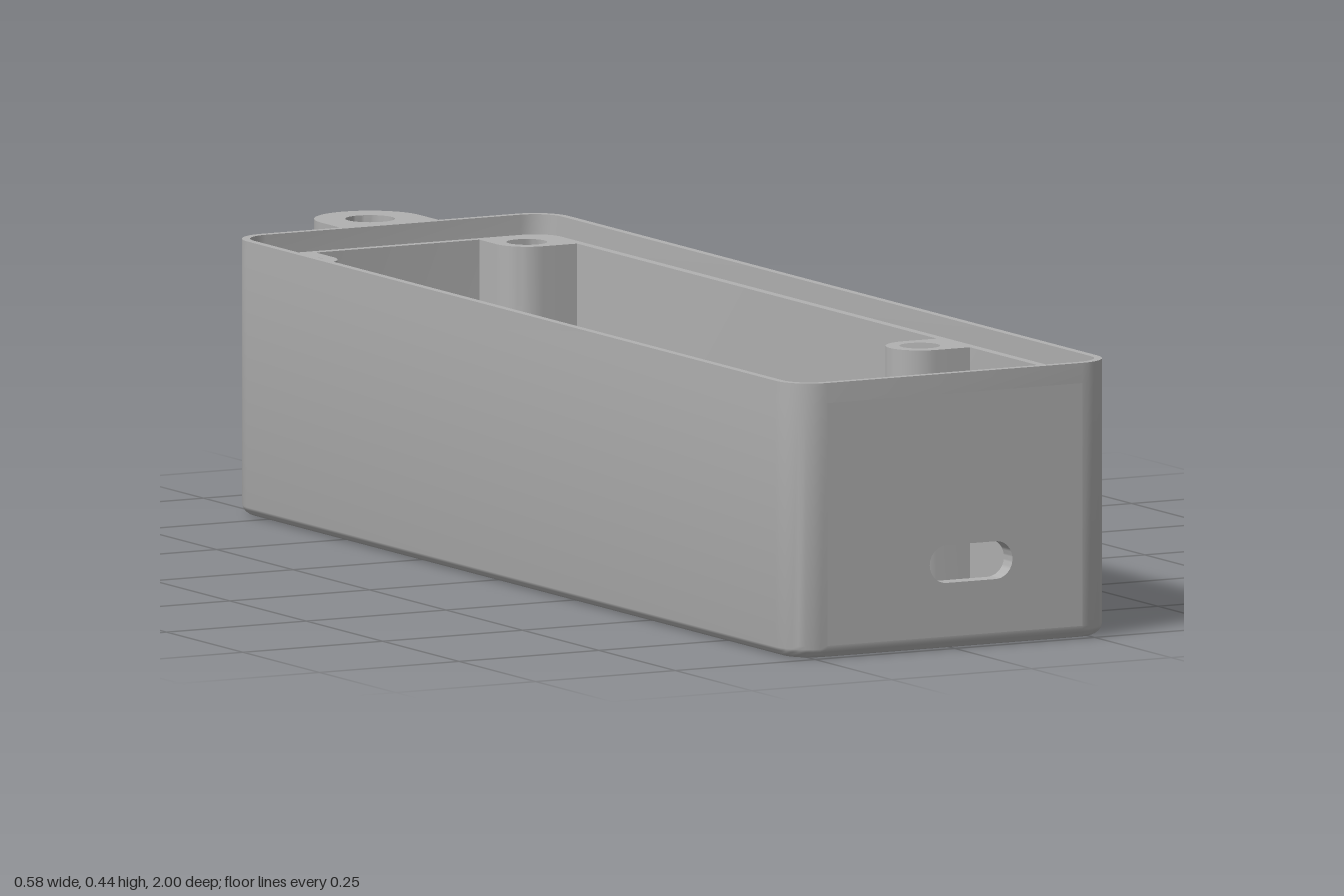
import * as THREE from 'three';
import { toCreasedNormals } from 'three/addons/utils/BufferGeometryUtils.js';

const W = 0.288, ZC = 0.075, D = 0.925, R = 0.06; // half width, centre z, half depth, corner radius
const H = 0.437, LEDGE = 0.405, FLOOR = 0.03, WALL = 0.028, LIP = 0.013, FILLET = 0.02;
const SEG = 8;

// Rounded-rectangle outline of the case in x/z, moved inward by an inset
function outline(inset) {
  const pts = [];
  [[1, 1], [-1, 1], [-1, -1], [1, -1]].forEach(([sx, sz], q) => {
    for (let i = 0; i <= SEG; i++) {
      const a = (q + i / SEG) * Math.PI / 2;
      pts.push(new THREE.Vector2(
        sx * (W - R) + (R - inset) * Math.cos(a),
        ZC + sz * (D - R) + (R - inset) * Math.sin(a)));
    }
  });
  return pts;
}

// Skin through [inset, y] rings; skip(k) leaves the flat front of strip k open
function loftWalls(rings, skip) {
  const pos = [];
  const loops = rings.map(([inset, y]) => outline(inset).map(p => [p.x, y, p.y]));
  const n = loops[0].length;
  for (let k = 0; k < rings.length - 1; k++) {
    for (let i = 0; i < n; i++) {
      if (i === SEG && skip(k)) continue;
      const j = (i + 1) % n;
      const a = loops[k][i], b = loops[k][j], c = loops[k + 1][i], d = loops[k + 1][j];
      pos.push(...a, ...c, ...b, ...b, ...c, ...d);
    }
  }
  const g = new THREE.BufferGeometry();
  g.setAttribute('position', new THREE.Float32BufferAttribute(pos, 3));
  return g;
}

// Extrude an x/z shape between two heights
function extrudeUp(shape, y0, y1) {
  return new THREE.ExtrudeGeometry(shape, { depth: y1 - y0, bevelEnabled: false, curveSegments: 24 })
    .rotateX(Math.PI / 2).translate(0, y1, 0);
}

function circle(x, z, r) {
  return new THREE.Path().absarc(x, z, r, 0, Math.PI * 2, true);
}

export function createModel() {
  const model = new THREE.Group();
  model.name = 'enclosure';
  const grey = new THREE.MeshStandardMaterial({ color: 0xb0b0b0 });
  grey.name = 'grey plastic';

  const add = (name, geometry) => {
    const mesh = new THREE.Mesh(toCreasedNormals(geometry, 0.6), grey);
    mesh.name = name;
    model.add(mesh);
    return mesh;
  };
  const cylinder = (name, x, z, r, y0, y1) =>
    add(name, new THREE.CylinderGeometry(r, r, y1 - y0, 32).translate(x, (y0 + y1) / 2, z));
  const ring = (name, x, z, r, hole, y0, y1) => {
    const s = new THREE.Shape().absarc(x, z, r, 0, Math.PI * 2, false);
    s.holes.push(circle(x, z, hole));
    add(name, extrudeUp(s, y0, y1));
  };

  // Walls: bottom fillet, outer side, rim, stepped lip, inner side
  const rings = [];
  for (let i = 0; i <= 6; i++) {
    const a = i / 6 * Math.PI / 2;
    rings.push([FILLET * (1 - Math.sin(a)), FILLET * (1 - Math.cos(a))]);
  }
  rings.push([0, LEDGE], [0, H], [LIP, H], [LIP, LEDGE], [WALL, LEDGE], [WALL, FLOOR]);
  add('walls', loftWalls(rings, k => k === 6 || k === rings.length - 2));

  // Flat front panel with the connector slot
  const panel = new THREE.Shape();
  const px = W - R;
  panel.moveTo(-px, FILLET).lineTo(px, FILLET).lineTo(px, LEDGE).lineTo(-px, LEDGE).closePath();
  const slot = new THREE.Path();
  slot.absarc(0.073, 0.135, 0.03, -Math.PI / 2, Math.PI / 2, false);
  slot.absarc(-0.015, 0.135, 0.03, Math.PI / 2, Math.PI * 1.5, false);
  slot.closePath();
  panel.holes.push(slot);
  add('frontPanel', new THREE.ExtrudeGeometry(panel, { depth: WALL, bevelEnabled: false, curveSegments: 16 })
    .translate(0, 0, ZC + D - WALL));

  // Floor with sensor opening, side holes, window and sound holes
  const floor = new THREE.Shape(outline(FILLET));
  floor.holes.push(circle(0, -0.35, 0.115), circle(-0.193, -0.35, 0.04), circle(0.193, -0.35, 0.04));
  floor.holes.push(new THREE.Path().moveTo(-0.045, -0.675).lineTo(0.045, -0.675)
    .lineTo(0.045, -0.61).lineTo(-0.045, -0.61).closePath());
  floor.holes.push(circle(-0.132, -0.035, 0.021));
  for (let i = 0; i < 6; i++) {
    const a = i * Math.PI / 3;
    floor.holes.push(circle(-0.132 + 0.052 * Math.cos(a), -0.035 + 0.052 * Math.sin(a), 0.021));
  }
  add('floor', extrudeUp(floor, 0, FLOOR));

  // Tall lid screw bosses, joined to the walls
  const screwBoss = (pts, x, z) => {
    const s = new THREE.Shape(pts);
    s.holes.push(circle(x, z, 0.032));
    add('screwBoss', extrudeUp(s, FLOOR, LEDGE));
    cylinder('screwHoleBottom', x, z, 0.033, FLOOR, 0.18);
  };
  const r = 0.054, wallX = W - WALL + 0.001;
  for (const [sx, sz, z] of [[-1, -1, -0.765], [1, -1, -0.765], [1, 1, 0.912]]) {
    const x = 0.2 * sx, wallZ = ZC + sz * (D - WALL + 0.001);
    const pts = [];
    for (let i = 0; i <= 10; i++) {
      const a = i / 10 * Math.PI / 2;
      pts.push(new THREE.Vector2(x - sx * r * Math.cos(a), z - sz * r * Math.sin(a)));
    }
    pts.push(new THREE.Vector2(sx * wallX, z - sz * r), new THREE.Vector2(sx * wallX, wallZ),
      new THREE.Vector2(x - sx * r, wallZ));
    screwBoss(pts, x, z);
  }
  const side = [];
  for (let i = 0; i <= 20; i++) {
    const a = (i / 20 - 0.5) * Math.PI;
    side.push(new THREE.Vector2(0.2 - r * Math.cos(a), 0.52 + r * Math.sin(a)));
  }
  side.push(new THREE.Vector2(wallX, 0.52 + r), new THREE.Vector2(wallX, 0.52 - r));
  screwBoss(side, 0.2, 0.52);

  // Collars and locating pins, mirrored
  for (const s of [-1, 1]) {
    ring('holeCollar', s * 0.193, -0.35, 0.058, 0.04, FLOOR, 0.055);
    cylinder('pinBase', s * 0.15, -0.665, 0.037, FLOOR, 0.065);
    cylinder('locatingPin', s * 0.15, -0.665, 0.02, 0.065, 0.1);
  }

  // Board standoffs with blind holes
  for (const [x, z, ro, ri, top] of [
    [0, -0.035, 0.045, 0.022, 0.18],
    [-0.205, 0.27, 0.043, 0.013, 0.07],
    [0.103, 0.832, 0.043, 0.013, 0.07]]) {
    ring('standoff', x, z, ro, ri, FLOOR, top);
  }

  // Hanging tab on the back
  const tab = new THREE.Shape();
  tab.moveTo(0.088, -0.84).lineTo(-0.088, -0.84).lineTo(-0.088, -0.912);
  tab.absarc(0, -0.912, 0.088, Math.PI, Math.PI * 2, false);
  tab.closePath();
  tab.holes.push(circle(0, -0.912, 0.039));
  add('hangingTab', extrudeUp(tab, 0.396, H));

  // Domed indicators on the back
  for (const x of [0.057, 0.157]) {
    add('indicator', new THREE.SphereGeometry(0.021, 24, 16).translate(x, 0.083, -0.845));
  }
  return model;
}
